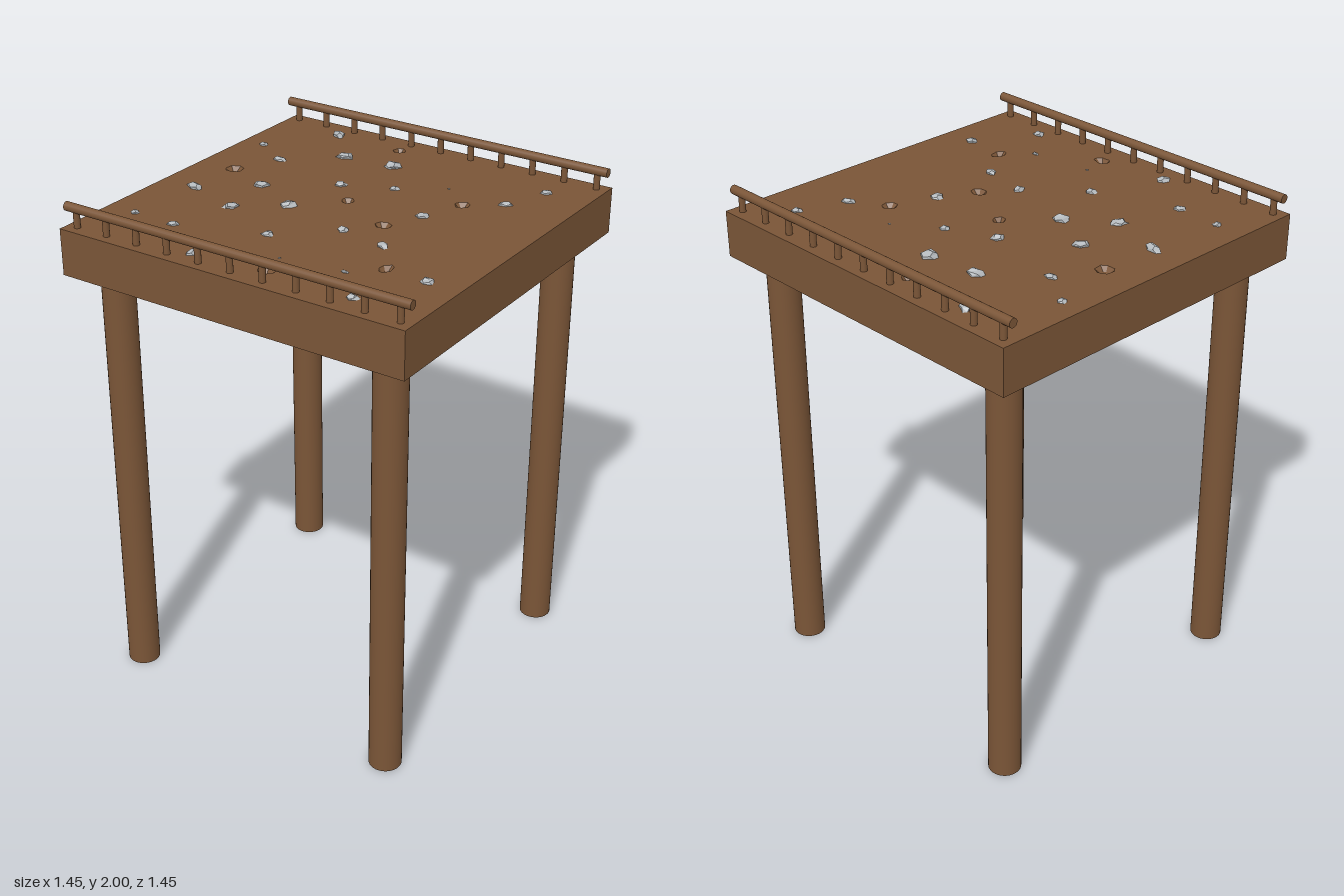
import * as THREE from 'three';

const wood = new THREE.MeshStandardMaterial({ name: 'brownWood', color: 0x7a5537 });
const stone = new THREE.MeshStandardMaterial({ name: 'greyStone', color: 0xb4b9bd });

const HALF = 0.727, TOP = 1.91, BOTTOM = 1.73;

// x, z, half width, half depth, turn
const ROCKS = [
  [-0.44, -0.62, 0.040, 0.022, -0.8], [-0.285, -0.43, 0.034, 0.027, 0.2], [-0.075, -0.445, 0.034, 0.034, 0],
  [-0.63, -0.365, 0.018, 0.018, 0], [-0.48, -0.263, 0.029, 0.018, 0], [-0.135, -0.178, 0.025, 0.024, 0.5],
  [0.055, -0.257, 0.020, 0.021, 0], [0.545, -0.54, 0.024, 0.021, 0.3], [0.48, -0.355, 0.027, 0.016, 0.5],
  [0.28, -0.093, 0.024, 0.024, 0], [-0.378, -0.01, 0.033, 0.024, 0.7], [-0.18, 0.097, 0.030, 0.033, 0],
  [-0.573, 0.147, 0.039, 0.022, -0.3], [-0.347, 0.222, 0.032, 0.023, 1.1], [0.117, 0.173, 0.021, 0.026, 0],
  [0.307, 0.212, 0.026, 0.018, -0.6], [-0.083, 0.355, 0.024, 0.023, 0], [0.592, 0.378, 0.025, 0.023, 0],
  [-0.602, 0.463, 0.016, 0.017, 0], [-0.42, 0.47, 0.024, 0.018, 0.4], [0.32, 0.465, 0.015, 0.009, 0],
  [-0.202, 0.627, 0.020, 0.032, -0.2], [0.455, 0.62, 0.023, 0.022, 0],
  [0.225, -0.373, 0.005, 0.005, 0], [0.07, 0.495, 0.005, 0.005, 0],
];

// x, z, half width, half depth
const PITS = [
  [-0.145, -0.61, 0.025, 0.026], [0.347, -0.265, 0.028, 0.032], [-0.57, -0.09, 0.035, 0.036],
  [-0.025, -0.065, 0.028, 0.027], [0.208, 0.055, 0.036, 0.028], [0.42, 0.365, 0.024, 0.035],
  [0.092, 0.606, 0.035, 0.027],
];

let seed = 7;
function rand() {
  seed = (seed * 16807) % 2147483647;
  return seed / 2147483647;
}

function add(parent, name, geometry, material, x = 0, y = 0, z = 0) {
  const mesh = new THREE.Mesh(geometry, material);
  mesh.name = name;
  mesh.position.set(x, y, z);
  parent.add(mesh);
  return mesh;
}

// Faceted pebble: corners of a polyhedron pushed in and out
function rockGeometry(w, h, d) {
  const geo = new THREE.DodecahedronGeometry(1, 0);
  const p = geo.attributes.position;
  const scales = new Map();
  for (let i = 0; i < p.count; i++) {
    const key = [p.getX(i), p.getY(i), p.getZ(i)].map((v) => Math.round(v * 100)).join();
    if (!scales.has(key)) scales.set(key, 0.82 + rand() * 0.4);
    const s = scales.get(key);
    p.setXYZ(i, p.getX(i) * s * w, p.getY(i) * s * h, p.getZ(i) * s * d);
  }
  geo.computeVertexNormals();
  return geo;
}

// Shallow dish facing upwards, fitted to its rim
function pitGeometry(rim, cx, cz) {
  const depth = 0.016, pos = [];
  const low = rim.map((v) => [cx + (v.x - cx) * 0.45, TOP - depth, cz + (v.y - cz) * 0.45]);
  rim.forEach((v, i) => {
    const j = (i + 1) % rim.length;
    const a = [v.x, TOP, v.y], b = [rim[j].x, TOP, rim[j].y];
    pos.push(...a, ...low[j], ...low[i], ...a, ...b, ...low[j]);
    pos.push(...low[i], ...low[j], cx, TOP - depth * 1.2, cz);
  });
  // wind every face so that it looks up out of the pit
  for (let k = 0; k < pos.length; k += 9) {
    const [ax, , az, bx, , bz, qx, , qz] = pos.slice(k, k + 9);
    if ((bz - az) * (qx - ax) - (bx - ax) * (qz - az) < 0) {
      const b = pos.slice(k + 3, k + 6);
      for (let n = 0; n < 3; n++) {
        pos[k + 3 + n] = pos[k + 6 + n];
        pos[k + 6 + n] = b[n];
      }
    }
  }
  const geo = new THREE.BufferGeometry();
  geo.setAttribute('position', new THREE.Float32BufferAttribute(pos, 3));
  geo.computeVertexNormals();
  return geo;
}

export function createModel() {
  const model = new THREE.Group();
  model.name = 'platform';

  // Deck body: a box without its upper face
  const body = new THREE.BoxGeometry(HALF * 2, TOP - BOTTOM, HALF * 2);
  const index = Array.from(body.index.array);
  index.splice(12, 6);
  body.setIndex(index);
  body.clearGroups();
  add(model, 'deckBody', body, wood, 0, (TOP + BOTTOM) / 2, 0);

  // Deck surface with pits sunk into it
  const surface = new THREE.Shape([
    new THREE.Vector2(-HALF, -HALF), new THREE.Vector2(HALF, -HALF),
    new THREE.Vector2(HALF, HALF), new THREE.Vector2(-HALF, HALF),
  ]);
  for (const [x, z, w, d] of PITS) {
    const rim = [];
    for (let i = 0; i < 7; i++) {
      const a = (i / 7) * Math.PI * 2 + rand() * 0.4, s = 0.85 + rand() * 0.25;
      rim.push(new THREE.Vector2(x + Math.cos(a) * w * s, z + Math.sin(a) * d * s));
    }
    surface.holes.push(new THREE.Path(rim.map((v) => new THREE.Vector2(v.x, -v.y))));
    add(model, 'pit', pitGeometry(rim, x, z), wood);
  }
  const deckTop = new THREE.ShapeGeometry(surface);
  deckTop.rotateX(-Math.PI / 2);
  add(model, 'deckSurface', deckTop, wood, 0, TOP, 0);

  // Four round legs
  const leg = new THREE.CylinderGeometry(0.063, 0.063, BOTTOM, 32);
  for (const x of [-0.59, 0.59]) {
    for (const z of [-0.59, 0.59]) add(model, 'leg', leg, wood, x, BOTTOM / 2, z);
  }

  // Railings at front and back
  const rail = new THREE.CylinderGeometry(0.0175, 0.0175, HALF * 2, 20);
  rail.rotateZ(Math.PI / 2);
  const post = new THREE.CylinderGeometry(0.0125, 0.0125, 0.073, 16);
  for (const z of [-0.683, 0.683]) {
    const railing = new THREE.Group();
    railing.name = z > 0 ? 'frontRailing' : 'backRailing';
    add(railing, 'handrail', rail, wood, 0, 1.9825, z);
    for (let i = 0; i < 11; i++) add(railing, 'post', post, wood, -0.682 + i * 0.1364, TOP + 0.0365, z);
    model.add(railing);
  }

  // Scattered stones half sunk in the deck
  const stones = new THREE.Group();
  stones.name = 'stones';
  for (const [x, z, w, d, turn] of ROCKS) {
    const rock = add(stones, 'stone', rockGeometry(w, Math.min(0.02, (w + d) * 0.3), d), stone, x, TOP, z);
    rock.rotation.y = turn;
  }
  model.add(stones);
  return model;
}
